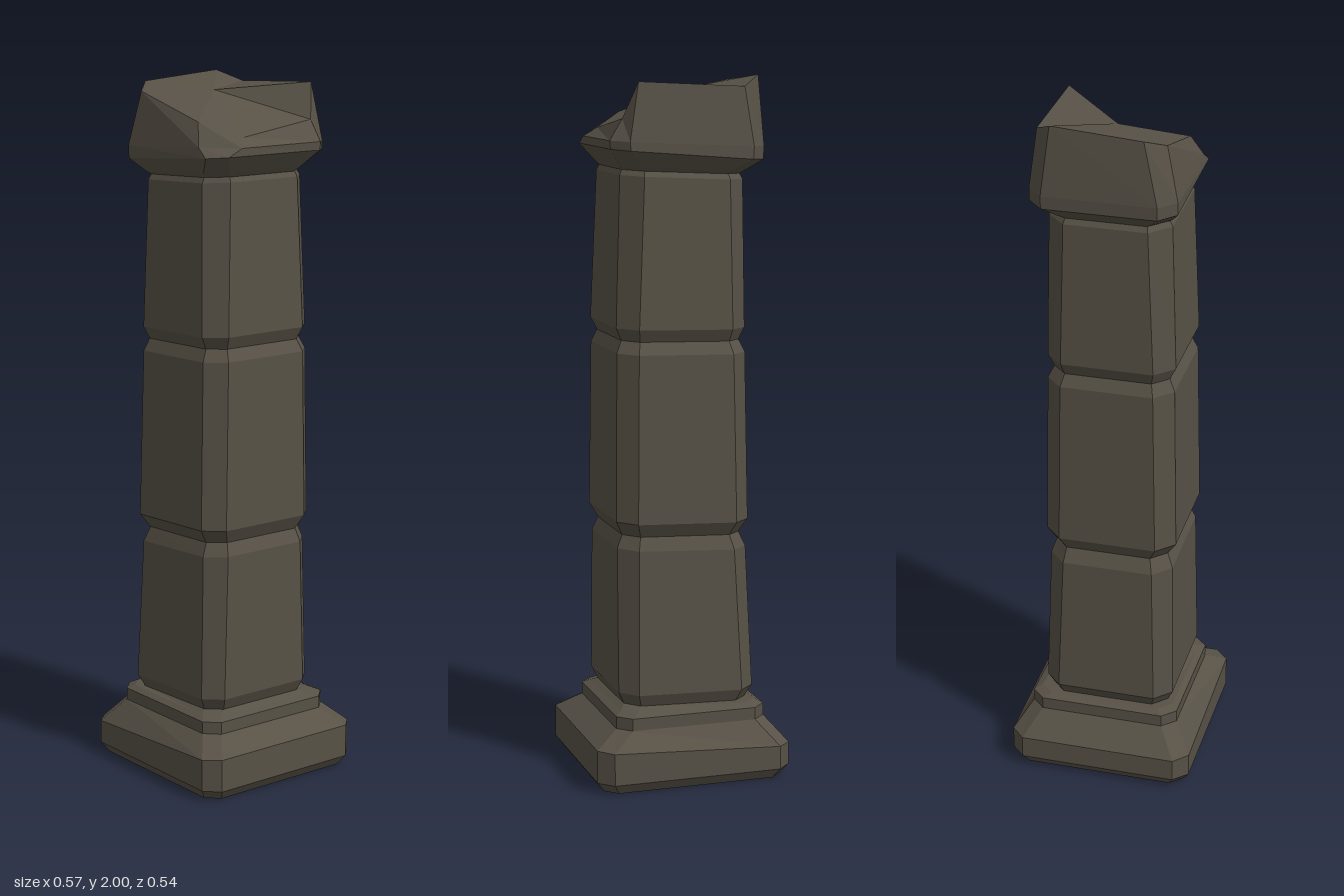
import * as THREE from 'three';

// Chamfered rectangle ring; tilt raises the +x side
function ring(y, x0, x1, z0, z1, c, tilt = 0) {
  return [
    [x1, z0 + c], [x1, z1 - c], [x1 - c, z1], [x0 + c, z1],
    [x0, z1 - c], [x0, z0 + c], [x0 + c, z0], [x1 - c, z0],
  ].map(([x, z]) => new THREE.Vector3(x, y + tilt * x, z));
}

// Skin a stack of rings, with optional fan points closing the bottom and top
function loft(rings, bottom, top) {
  const pts = [];
  const n = rings[0].length;
  for (let k = 0; k < rings.length - 1; k++) {
    const a = rings[k], b = rings[k + 1];
    for (let i = 0; i < n; i++) {
      const j = (i + 1) % n;
      pts.push(a[i], b[i], b[j], a[i], b[j], a[j]);
    }
  }
  const last = rings[rings.length - 1];
  for (let i = 0; i < n; i++) {
    const j = (i + 1) % n;
    if (bottom) pts.push(bottom, rings[0][i], rings[0][j]);
    if (top) pts.push(top, last[j], last[i]);
  }
  const geometry = new THREE.BufferGeometry().setFromPoints(pts);
  geometry.computeVertexNormals();
  return geometry;
}

export function createModel() {
  const group = new THREE.Group();
  group.name = 'brokenPillar';
  const stone = new THREE.MeshStandardMaterial({ color: 0x575146, flatShading: true });
  stone.name = 'dark stone';

  const add = (name, geometry) => {
    const mesh = new THREE.Mesh(geometry, stone);
    mesh.name = name;
    group.add(mesh);
  };

  // Sloped plinth with a small step under the shaft
  const shaftFoot = ring(0.22, -0.185, 0.18, -0.17, 0.18, 0.04, 0.03);
  add('base', loft([
    ring(0, -0.265, 0.265, -0.25, 0.25, 0.035),
    ring(0.03, -0.287, 0.287, -0.27, 0.27, 0.04),
    ring(0.11, -0.287, 0.287, -0.27, 0.27, 0.04, 0.05),
    ring(0.17, -0.224, 0.218, -0.222, 0.217, 0.038),
    ring(0.205, -0.224, 0.218, -0.222, 0.217, 0.038),
    ring(0.215, -0.205, 0.197, -0.2, 0.2, 0.038),
    shaftFoot,
  ], new THREE.Vector3(0, 0, 0)));

  // Three stacked shaft blocks meeting in narrow grooves
  const groove1 = ring(0.71, -0.168, 0.18, -0.162, 0.17, 0.042, 0.04);
  const groove2 = ring(1.265, -0.165, 0.18, -0.162, 0.17, 0.042, 0.03);
  const neck = ring(1.735, -0.168, 0.175, -0.163, 0.165, 0.05, 0.05);
  add('lowerBlock', loft([
    shaftFoot,
    ring(0.255, -0.205, 0.197, -0.186, 0.197, 0.047, 0.03),
    ring(0.67, -0.187, 0.196, -0.176, 0.187, 0.05, 0.05),
    groove1,
  ]));
  add('middleBlock', loft([
    groove1,
    ring(0.75, -0.19, 0.201, -0.186, 0.197, 0.05, 0.04),
    ring(1.23, -0.181, 0.196, -0.18, 0.186, 0.05, 0.03),
    groove2,
  ]));
  add('upperBlock', loft([
    groove2,
    ring(1.3, -0.18, 0.197, -0.18, 0.188, 0.052, 0.03),
    ring(1.72, -0.176, 0.182, -0.172, 0.173, 0.055, 0.05),
    neck,
  ]));

  // Capital with a chipped front left corner and a jagged broken top
  const chippedRim = ring(1.815, -0.222, 0.224, -0.21, 0.2, 0.045, 0.05);
  chippedRim[1].set(0.222, 1.825, 0.11);
  chippedRim[2].set(0.14, 1.825, 0.195);
  const brokenEdge = [
    [0.187, 1.885, -0.16], [0.19, 1.85, 0.08], [0.1, 1.89, 0.166], [-0.16, 1.957, 0.166],
    [-0.21, 1.98, 0.115], [-0.212, 2, -0.14], [-0.155, 1.97, -0.192], [0.15, 1.985, -0.192],
  ].map((p) => new THREE.Vector3(...p));
  add('capital', loft([
    neck,
    ring(1.745, -0.178, 0.185, -0.175, 0.175, 0.05, 0.06),
    ring(1.785, -0.22, 0.222, -0.21, 0.2, 0.045, 0.08),
    chippedRim,
    brokenEdge,
  ], null, new THREE.Vector3(-0.042, 1.96, 0)));

  return group;
}
